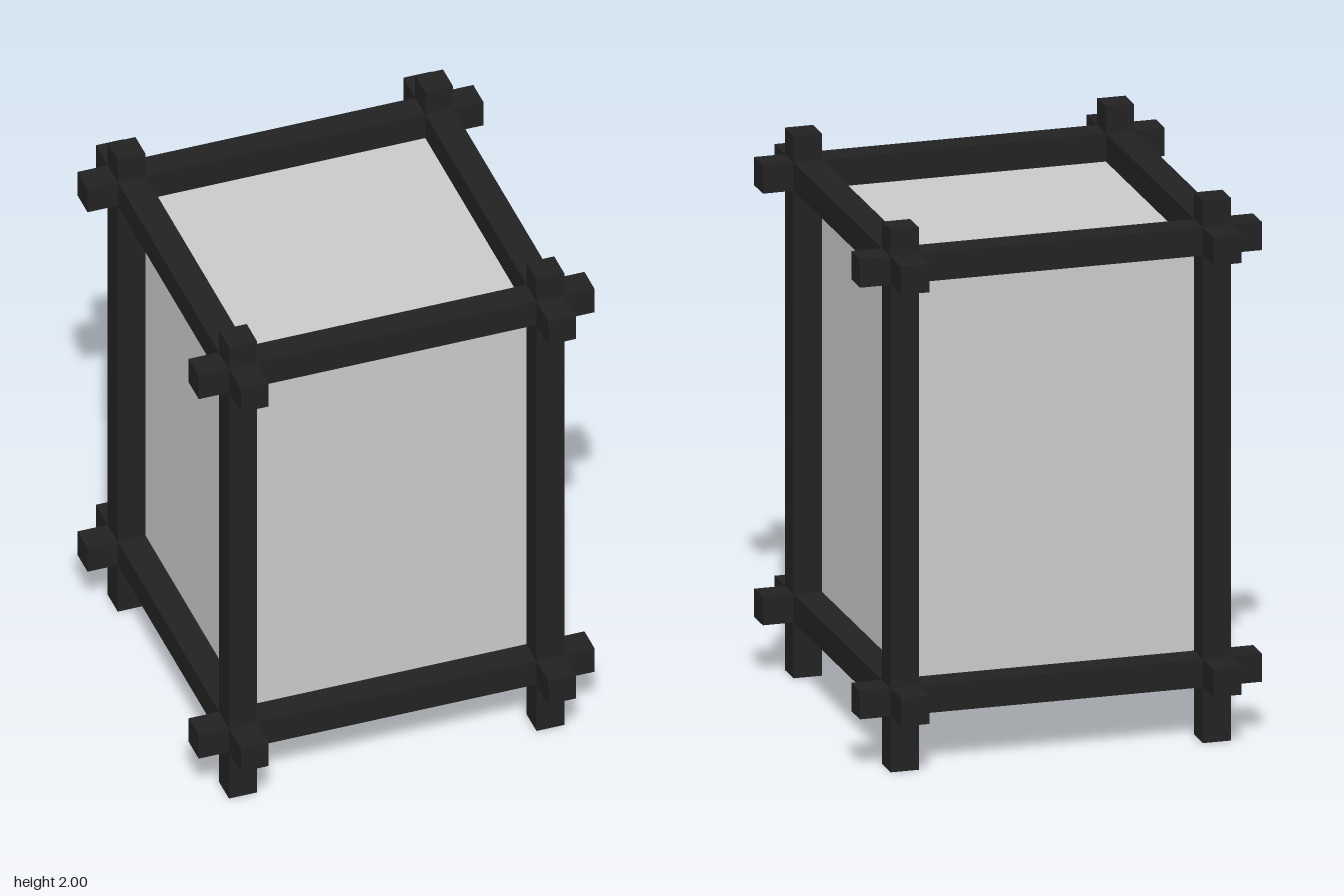
import * as THREE from 'three';

export function createModel() {
  const model = new THREE.Group();
  const wood = new THREE.MeshStandardMaterial({ color: 0x222222 });
  wood.name = 'dark wood';
  const paper = new THREE.MeshStandardMaterial({ color: 0xcacaca });
  paper.name = 'pale paper';

  const T = 0.104;   // beam thickness
  const C = 0.575;   // beam centre distance from the axis
  const LOW = 0.258, HIGH = 1.85;

  function box(name, size, pos, material) {
    const mesh = new THREE.Mesh(new THREE.BoxGeometry(...size), material);
    mesh.name = name;
    mesh.position.set(...pos);
    model.add(mesh);
  }

  // Corner posts
  for (const x of [-C, C]) {
    for (const z of [-C, C]) box('cornerPost', [T, 2, T], [x, 1, z], wood);
  }

  // Crossing rails that run past the posts at both levels
  for (const [level, y] of [['lower', LOW], ['upper', HIGH]]) {
    for (const s of [-C, C]) {
      box(level + 'CrossRail', [1.48, T, T], [0, y, s], wood);
      box(level + 'SideRail', [T, T, 1.5], [s, y, 0], wood);
    }
  }

  // Paper shade, set flush with the inner faces of the frame
  const inner = 2 * C - T;
  box('paperShade', [inner, HIGH - LOW - T, inner], [0, (LOW + HIGH) / 2, 0], paper);

  return model;
}
